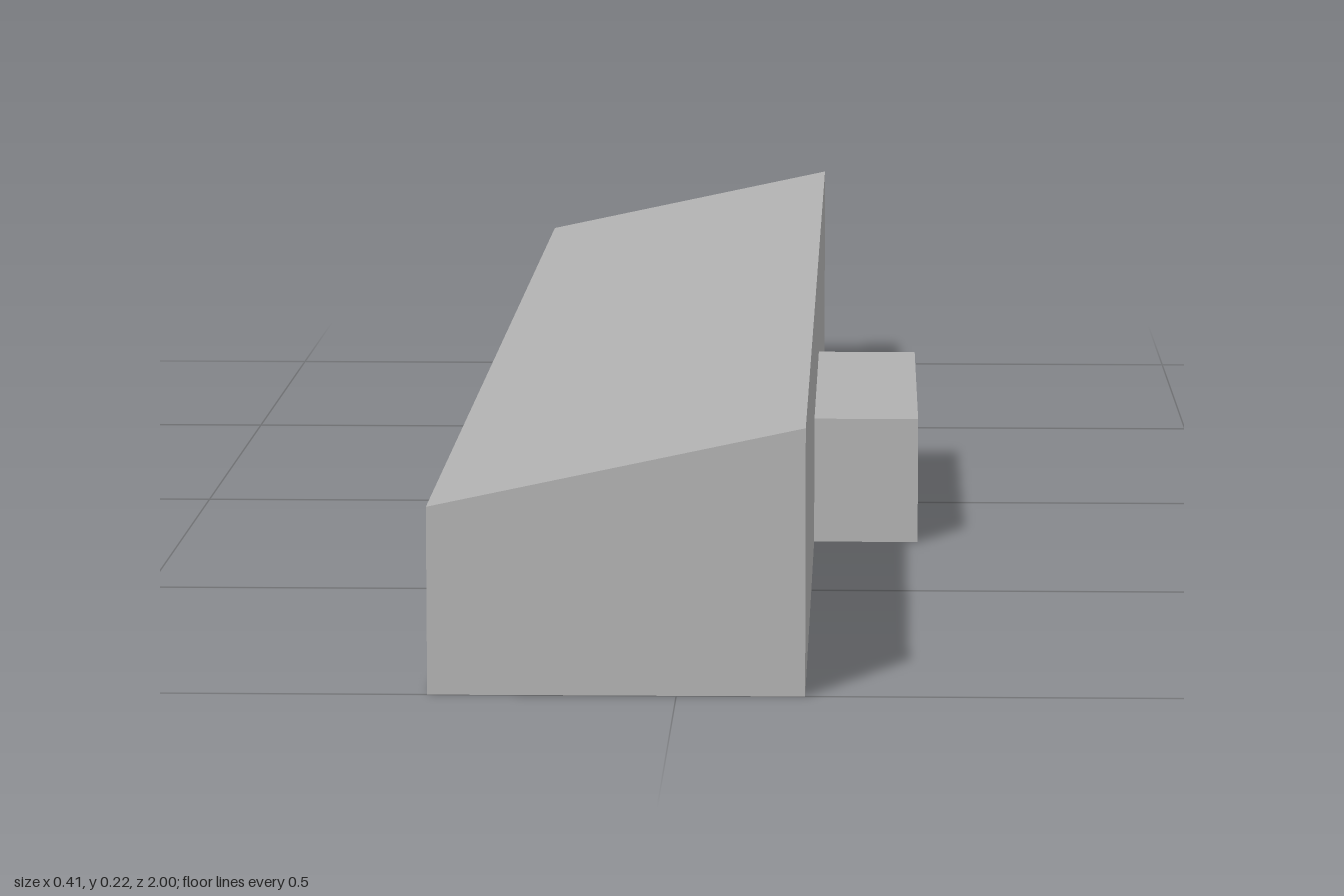
import * as THREE from 'three';

// Extrudes an x-y outline along z, centred on z = 0
function prism(name, points, length, material) {
  const shape = new THREE.Shape(points.map(([x, y]) => new THREE.Vector2(x, y)));
  const geometry = new THREE.ExtrudeGeometry(shape, { depth: length, bevelEnabled: false });
  geometry.translate(0, 0, -length / 2);
  const mesh = new THREE.Mesh(geometry, material);
  mesh.name = name;
  return mesh;
}

export function createModel() {
  const grey = new THREE.MeshStandardMaterial({ color: 0xb0b0b0 });
  grey.name = 'plain grey';

  const model = new THREE.Group();
  model.name = 'slopedBarWithLedge';

  // Long bar whose top slopes up towards +x
  model.add(prism('slopedBar', [[-0.207, 0], [0.107, 0], [0.107, 0.225], [-0.207, 0.158]], 2, grey));

  // Low ledge at the middle of the tall side
  model.add(prism('ledge', [[0.107, 0], [0.206, 0], [0.206, 0.119], [0.107, 0.119]], 0.47, grey));

  return model;
}
